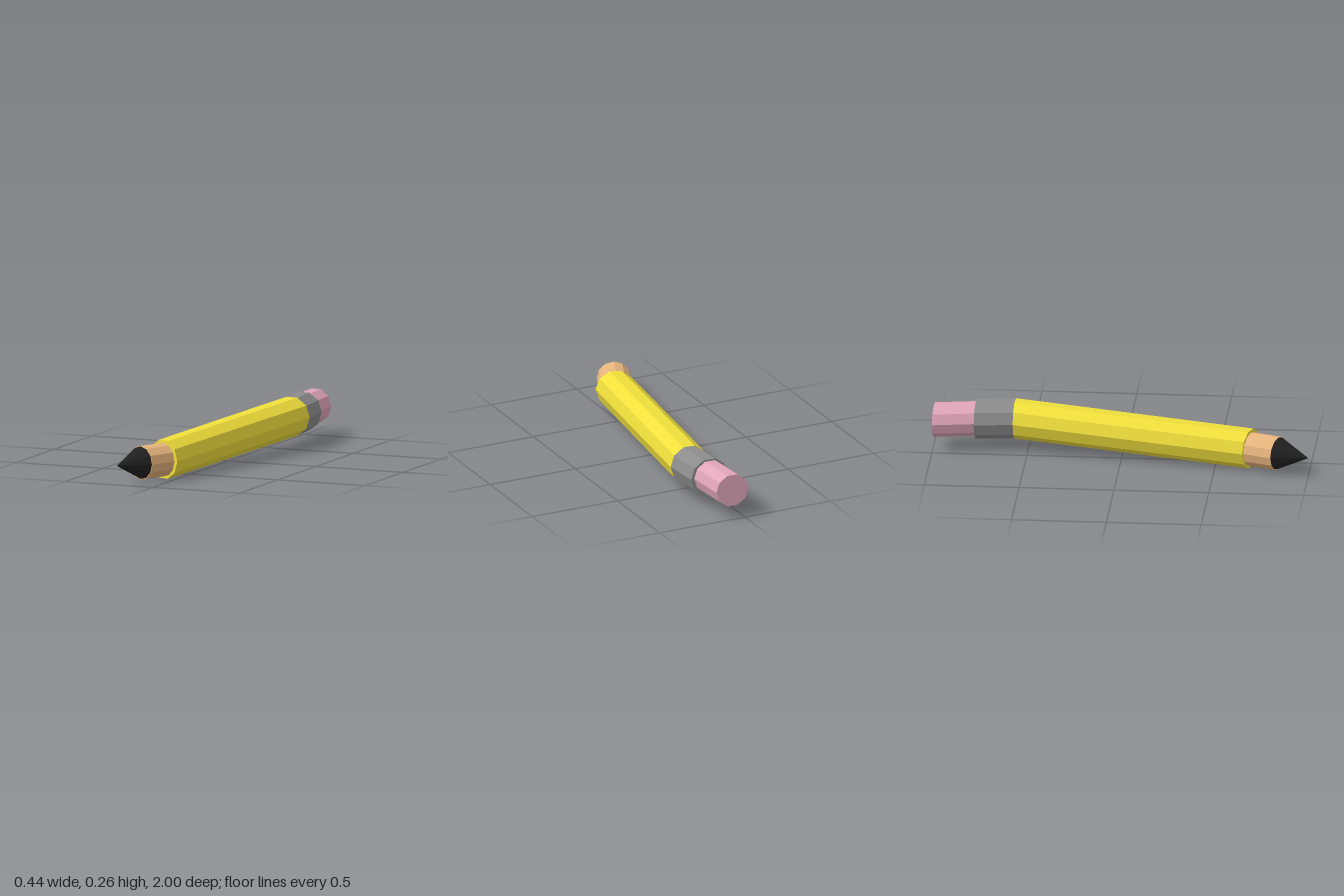
import * as THREE from 'three';

// A faceted tube between two cross-sections; each section is { at, yaw, r }.
function segment(name, color, sides, back, front) {
  const geo = new THREE.CylinderGeometry(front.r, back.r, 1, sides, 1, false, Math.PI / 2);
  geo.rotateX(Math.PI / 2);
  const pos = geo.attributes.position;
  for (let i = 0; i < pos.count; i++) {
    const end = pos.getZ(i) > 0 ? front : back;
    const x = pos.getX(i), y = pos.getY(i);
    pos.setXYZ(i,
      end.at[0] + x * Math.cos(end.yaw),
      end.at[1] + y,
      end.at[2] + x * Math.sin(end.yaw));
  }
  const flat = geo.toNonIndexed();
  flat.computeVertexNormals();
  const mesh = new THREE.Mesh(flat, new THREE.MeshStandardMaterial({ color, flatShading: true }));
  mesh.name = name;
  return mesh;
}

export function createModel() {
  const group = new THREE.Group();
  group.name = 'bentPencil';

  // Cross-section planes along the bent axis, from eraser to tip
  const eraserEnd = { at: [0.07, 0.163, -0.993], yaw: 0.06 };
  const bandBack = { at: [0.096, 0.164, -0.774], yaw: 0.05 };
  const eraserRoot = { at: [0.094, 0.168, -0.765], yaw: 0.05 };
  const bandFront = { at: [0.115, 0.166, -0.57], yaw: 0.05 };
  const bodyFront = { at: [-0.075, 0.1025, 0.688], yaw: 0.375 };
  const woodRoot = { at: [-0.077, 0.101, 0.685], yaw: 0.42 };
  const leadRoot = { at: [-0.138, 0.102, 0.837], yaw: 0.42 };
  const tip = { at: [-0.205, 0.104, 1.0], yaw: 0.42 };
  const sized = (section, r) => ({ ...section, r });

  group.add(
    segment('eraser', 0xe0a5b9, 10, sized(eraserEnd, 0.091), sized(eraserRoot, 0.091)),
    segment('metalBand', 0x8c8c8c, 10, sized(bandBack, 0.105), sized(bandFront, 0.105)),
    segment('body', 0xf0df3c, 10, sized(bandFront, 0.106), sized(bodyFront, 0.1055)),
    segment('wood', 0xe6b47d, 12, sized(woodRoot, 0.09), sized(leadRoot, 0.09)),
    segment('leadTip', 0x202020, 12, sized(leadRoot, 0.0865), sized(tip, 0)),
  );
  return group;
}
